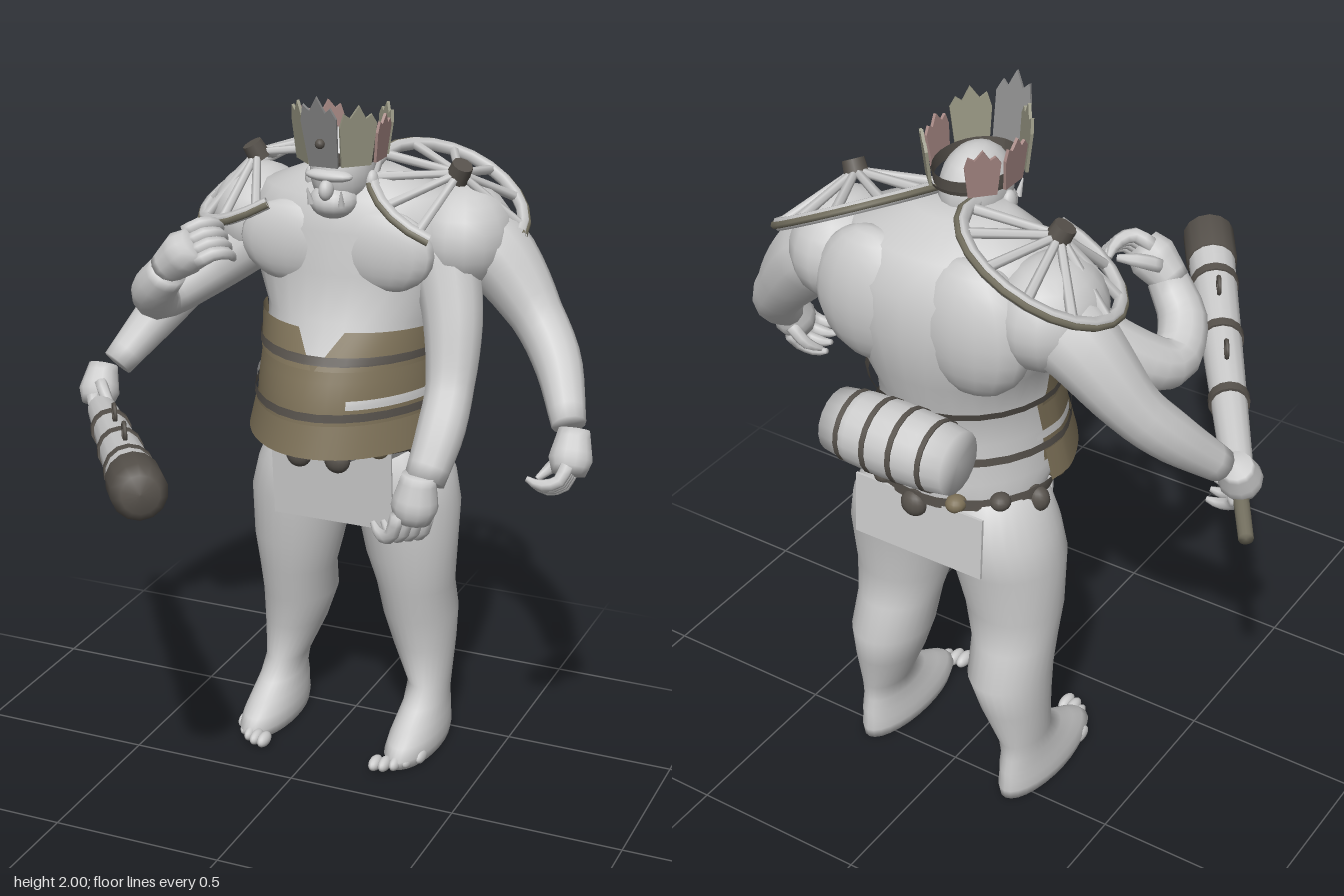
import * as THREE from 'three';

const V = (x, y, z) => new THREE.Vector3(x, y, z);
const UP = V(0, 1, 0), MID = 0.025; // MID: the body's own centre line
const mat = (name, color, side = THREE.DoubleSide) => {
  const m = new THREE.MeshStandardMaterial({ color, side });
  m.name = name;
  return m;
};

export function createModel() {
  const skin = mat('pale grey', 0xcccccc);
  const leather = mat('leather', 0x7d7158);
  const dark = mat('dark iron', 0x57524c);
  const bronze = mat('old bronze', 0x747060);
  const steel = mat('crown grey', 0x8a8a8a);
  const pink = mat('dull pink', 0xa58783);
  const sage = mat('sage', 0x969582);

  const root = new THREE.Group();
  root.name = 'ogreWarrior';
  const add = (name, geo, m, parent = root, pos) => {
    const mesh = new THREE.Mesh(geo, m);
    mesh.name = name;
    if (pos) mesh.position.copy(pos);
    parent.add(mesh);
    return mesh;
  };

  // Skin a list of rings
  const skinRings = (rings, closed = true) => {
    const n = rings[0].length, pts = rings.flat(), idx = [];
    for (let i = 0; i < rings.length - 1; i++)
      for (let j = 0; j < (closed ? n : n - 1); j++) {
        const a = i * n + j, b = i * n + (j + 1) % n;
        idx.push(a, b, b + n, a, b + n, a + n);
      }
    if (closed) [0, rings.length - 1].forEach((r, k) => {
      const c = pts.length;
      pts.push(rings[r].reduce((s, p) => s.add(p), V(0, 0, 0)).divideScalar(n));
      for (let j = 0; j < n; j++) {
        const a = r * n + j, b = r * n + (j + 1) % n;
        k ? idx.push(a, b, c) : idx.push(b, a, c);
      }
    });
    const g = new THREE.BufferGeometry().setFromPoints(pts);
    g.setIndex(idx);
    g.computeVertexNormals();
    return g;
  };
  // Horizontal slices [y, centre x, half width, front z, back z, front pointedness];
  // open when "arc" gives each slice's angles
  const stack = (secs, arc, off = 0) => {
    const n = 28;
    return skinRings(secs.map(([y, cx, rx, zf, zb, p = 1], i) => Array.from({ length: n }, (_, j) => {
      const [a0, a1] = arc ? arc(i) : [0, Math.PI * 2];
      const a = a0 + (a1 - a0) * j / (arc ? n - 1 : n), c = Math.cos(a);
      return V(cx + (rx + off) * Math.sin(a), y, (zf + zb) / 2 + ((zf - zb) / 2 + off) * (c > 0 ? c ** p : c));
    })), !arc);
  };
  // Rounded limb through points [x, y, z, radius]
  const limb = (pts, n = 12, sides = 12) => {
    const curve = new THREE.CatmullRomCurve3(pts.map(p => V(p[0], p[1], p[2])));
    const f = curve.computeFrenetFrames(n);
    return skinRings(Array.from({ length: n + 1 }, (_, i) => {
      const t = i / n, k = curve.getUtoTmapping(t) * (pts.length - 1), q = Math.min(Math.floor(k), pts.length - 2);
      const r = THREE.MathUtils.lerp(pts[q][3], pts[q + 1][3], k - q), c = curve.getPointAt(t);
      return Array.from({ length: sides }, (_, j) => {
        const a = j / sides * Math.PI * 2;
        return c.clone().addScaledVector(f.normals[i], r * Math.cos(a)).addScaledVector(f.binormals[i], r * Math.sin(a));
      });
    }));
  };
  const blob = (name, x, y, z, rx, ry, rz, m = skin) =>
    add(name, new THREE.SphereGeometry(1, 16, 12).scale(rx, ry, rz), m, root, V(x, y, z));
  const rod = (name, a, b, r0, r1, m, parent = root, sides = 8) => {
    const mesh = add(name, new THREE.CylinderGeometry(r1, r0, a.distanceTo(b), sides), m, parent, a.clone().lerp(b, 0.5));
    mesh.quaternion.setFromUnitVectors(UP, b.clone().sub(a).normalize());
  };

  // Torso
  const body = [[0.82, 0.2, -0.29, -0.56, 1], [0.95, 0.24, -0.2, -0.59, 1.2], [1.03, 0.25, -0.05, -0.59, 1.4], [1.15, 0.245, -0.07, -0.58, 1.4],
    [1.25, 0.24, -0.11, -0.59, 1.3], [1.35, 0.255, -0.17, -0.63, 1.1], [1.48, 0.31, -0.2, -0.65, 1], [1.6, 0.34, -0.2, -0.64, 1],
    [1.69, 0.27, -0.23, -0.59, 1], [1.75, 0.13, -0.28, -0.48, 1]].map(([y, ...r]) => [y, MID, ...r]);
  add('torso', stack(body), skin);
  for (const s of [-1, 1]) {
    blob('chestMuscle', MID + s * 0.13, 1.55, -0.255, 0.16, 0.12, 0.055);
    blob('shoulder', MID + s * 0.31, 1.565, -0.44, 0.14, 0.15, 0.165);
    blob('shoulderBlade', MID + s * 0.15, 1.52, -0.545, 0.17, 0.19, 0.1);
  }

  // Legs and feet
  const legSecs = [[0, 0.235, 0.07, -0.17, -0.56], [0.03, 0.235, 0.076, -0.155, -0.565], [0.06, 0.235, 0.072, -0.185, -0.56],
    [0.09, 0.235, 0.067, -0.235, -0.56], [0.13, 0.235, 0.06, -0.3, -0.55], [0.18, 0.233, 0.061, -0.36, -0.55], [0.3, 0.21, 0.092, -0.35, -0.58],
    [0.4, 0.195, 0.11, -0.33, -0.6], [0.5, 0.19, 0.115, -0.305, -0.56], [0.6, 0.18, 0.135, -0.285, -0.55], [0.76, 0.165, 0.155, -0.26, -0.58],
    [0.85, 0.15, 0.15, -0.26, -0.59], [0.98, 0.13, 0.115, -0.28, -0.56]];
  for (const s of [-1, 1]) {
    const side = s < 0 ? 'right' : 'left';
    add(side + 'Leg', stack(legSecs.map(([y, x, ...r]) => [y, MID + s * x, ...r])), skin);
    for (let i = 0; i < 5; i++)
      blob(side + 'Toe', MID + s * (0.18 + i * 0.027), 0.021, -0.15 - i * i * 0.006, 0.018 - i * 0.001, 0.021, 0.036);
  }

  // Hands: palm, four fingers that bend towards "curl", and a thumb
  const hand = (name, palm, dir, curl, r, reach) => {
    dir.normalize(); curl.normalize();
    const side = dir.clone().cross(curl).normalize();
    const at = (a, b, c) => palm.clone().addScaledVector(dir, a * r).addScaledVector(curl, b * r).addScaledVector(side, c * r);
    add(name + 'Palm', limb([[...at(-1.3, 0, 0), r * 0.7], [...at(0, 0, 0), r], [...at(0.7, 0, 0), r * 0.75]], 6), skin);
    for (let i = 0; i < 4; i++) {
      const c = (i - 1.5) * 0.5;
      add(name + 'Finger', limb([[...at(0.4, 0, c), r * 0.32], [...at(0.5 + reach, 0.3, c), r * 0.3],
        [...at(0.6 + reach, 1.1, c), r * 0.26], [...at(0.4 + reach * 0.8, 1.7, c), r * 0.13]], 6, 7), skin);
    }
    add(name + 'Thumb', limb([[...at(-0.4, 0.3, 0.7), r * 0.32], [...at(0.2, 1, 1), r * 0.28], [...at(0.7, 1.5, 0.8), r * 0.14]], 5, 7), skin);
  };

  // Outer pair of arms
  add('leftOuterArm', limb([[0.3, 1.59, -0.45, 0.12], [0.42, 1.52, -0.46, 0.112], [0.56, 1.36, -0.43, 0.075], [0.64, 1.26, -0.37, 0.068], [0.72, 1.13, -0.24, 0.048]], 16), skin);
  hand('leftOuter', V(0.75, 1.06, -0.17), V(0.05, -0.85, 0.45), V(-1, -0.15, 0.2), 0.062, 0.6);
  add('rightOuterArm', limb([[-0.25, 1.59, -0.45, 0.12], [-0.37, 1.52, -0.46, 0.11], [-0.51, 1.35, -0.42, 0.075], [-0.58, 1.25, -0.35, 0.068], [-0.66, 1.12, -0.23, 0.047]], 16), skin);
  hand('rightOuter', V(-0.69, 1.05, -0.17), V(0.05, -0.7, 0.4), V(0.8, -0.3, 0.1), 0.06, 0.5);
  // Inner pair of arms: one raised, one hanging
  add('rightInnerArm', limb([[-0.27, 1.52, -0.38, 0.09], [-0.4, 1.42, -0.31, 0.08], [-0.49, 1.355, -0.2, 0.066], [-0.46, 1.41, -0.09, 0.065], [-0.39, 1.49, -0.05, 0.054]], 16), skin);
  hand('rightInner', V(-0.345, 1.54, -0.05), V(0.7, 0.6, 0), V(0.3, -0.2, -0.7), 0.066, 0.6);
  add('leftInnerArm', limb([[0.3, 1.53, -0.38, 0.1], [0.35, 1.35, -0.32, 0.085], [0.37, 1.18, -0.25, 0.068], [0.375, 1.08, -0.17, 0.068], [0.36, 0.96, -0.09, 0.058]], 16), skin);
  hand('leftInner', V(0.345, 0.9, -0.06), V(-0.1, -0.95, 0.05), V(-0.7, -0.1, -0.5), 0.068, 0.9);

  // Head
  blob('skull', MID, 1.76, -0.3, 0.088, 0.115, 0.115);
  blob('jaw', MID, 1.685, -0.235, 0.068, 0.05, 0.07);
  blob('nose', MID, 1.725, -0.18, 0.02, 0.03, 0.028);
  blob('brow', MID, 1.762, -0.2, 0.07, 0.018, 0.03);
  for (const s of [-1, 1]) {
    blob('ear', MID + s * 0.09, 1.73, -0.29, 0.018, 0.035, 0.025);
    rod('tusk', V(MID + s * 0.045, 1.685, -0.18), V(MID + s * 0.05, 1.73, -0.165), 0.01, 0.002, skin);
  }

  // Crown: jagged plates on a band, open at the back
  const crown = new THREE.Group();
  crown.name = 'crown';
  crown.position.set(MID, 1.795, -0.3);
  root.add(crown);
  for (const [off, h] of [[0, 0.036], [0.008, 0.012]])
    add('crownBand', stack([[0, 0, 0.1, 0.125, -0.125], [h, 0, 0.102, 0.13, -0.13]], () => [0, Math.PI * 2], off), dark, crown);
  const plates = [[steel, 0, 0.21, 0.052], [sage, 45, 0.17, 0.054], [sage, -45, 0.17, 0.054], [pink, 90, 0.13, 0.048],
    [pink, -90, 0.13, 0.048], [sage, 133, 0.14, 0.046], [pink, -133, 0.13, 0.046]];
  for (const [m, degrees, h, w] of plates) {
    const a = degrees * Math.PI / 180;
    const outline = [[-w * 0.8, 0], [w * 0.8, 0], [w, h * 0.7], [w * 0.7, h * 0.85], [w * 0.4, h * 0.78], [0, h], [-w * 0.45, h * 0.8], [-w * 0.8, h * 0.88], [-w, h * 0.65]];
    const shape = new THREE.Shape(outline.map(p => new THREE.Vector2(...p)));
    const plate = add('crownPlate', new THREE.ExtrudeGeometry(shape, { depth: 0.008, bevelEnabled: false }), m, crown, V(Math.sin(a) * 0.105, 0, Math.cos(a) * 0.132));
    plate.rotation.set(degrees ? 0.1 : 0.27, a, 0, 'YXZ');
  }
  add('crownStud', new THREE.SphereGeometry(0.014, 10, 8), dark, crown, V(0, 0.068, 0.165));

  // Broken wagon wheels worn on the shoulders
  const wheel = (name, s, start, arc) => {
    const g = new THREE.Group();
    g.name = name;
    g.position.set(MID + s * 0.268, 1.68, -0.415);
    g.quaternion.setFromUnitVectors(UP, V(s * 0.43, 0.87, 0.24).normalize());
    root.add(g);
    const ring = (label, r, tube, m) => add(label, new THREE.TorusGeometry(r, tube, 6, 18, arc).rotateZ(start).rotateX(Math.PI / 2), m, g);
    ring('wheelRim', 0.222, 0.018, skin);
    ring('wheelTyre', 0.235, 0.01, bronze);
    for (let i = 0; i < 9; i++) {
      const a = start + arc * (i + 0.3) / 8.6;
      rod('spoke', V(0, 0.085, 0), V(Math.cos(a) * 0.22, 0, Math.sin(a) * 0.22), 0.011, 0.014, skin, g, 6);
    }
    add('hub', new THREE.CylinderGeometry(0.03, 0.034, 0.05, 10), dark, g, V(0, 0.09, 0));
  };
  const deg = Math.PI / 180;
  wheel('rightShoulderWheel', -1, 70 * deg, 290 * deg);
  wheel('leftShoulderWheel', 1, 80 * deg, 275 * deg);

  // Belts follow the torso outline
  const bodyAt = y => {
    const i = body.findIndex(b => b[0] > y), a = body[i - 1], b = body[i], t = (y - a[0]) / (b[0] - a[0]);
    return a.map((v, k) => v + (b[k] - v) * t);
  };
  const band = (name, y0, y1, off, a0, a1, m) => add(name,
    stack([0, 0.25, 0.5, 0.75, 1].map(t => bodyAt(y0 + (y1 - y0) * t)), () => [a0, a1], off), m);
  band('lowerBelt', 1.06, 1.25, 0.012, -1.8, 1.8, leather);
  for (const s of [-1, 1]) { // upper belt halves leave a V notch in front
    const edges = i => [0.02 + i * 0.12, 1.75 - i * 0.12].map(a => a * s).sort((a, b) => a - b);
    add('upperBelt', stack([bodyAt(1.235), bodyAt(1.285), bodyAt(1.335)], edges, 0.016), leather);
  }
  add('beltSkirt', stack([[1.0, MID, 0.28, -0.02, -0.6, 1.4], [1.09, MID, 0.262, -0.045, -0.59, 1.4]], () => [-1.8, 1.8]), leather);
  band('paleSash', 1.135, 1.16, 0.018, 0.4, 1.9, skin);
  band('paleSash', 1.135, 1.16, 0.018, -1.9, -1.1, skin);
  band('lowerStrap', 1.102, 1.125, 0.022, -Math.PI, Math.PI, dark);
  band('upperStrap', 1.25, 1.273, 0.022, -Math.PI, Math.PI, dark);
  band('hipStrap', 0.968, 1.0, 0.018, -Math.PI, Math.PI, dark);
  for (let i = 0; i < 13; i++) { // pouches round the hips
    const a = i / 13 * Math.PI * 2 + 0.2, big = i % 3 === 0;
    blob('pouch', MID + Math.sin(a) * 0.25, big ? 0.955 : 0.985, -0.375 + Math.cos(a) * 0.225, big ? 0.038 : 0.028, big ? 0.038 : 0.024, 0.03, i % 3 === 1 ? leather : dark);
  }
  // Loincloths
  add('frontCloth', new THREE.BoxGeometry(0.37, 0.28, 0.008), skin, root, V(MID, 0.865, -0.235)).rotation.x = 0.1;
  add('backCloth', new THREE.BoxGeometry(0.4, 0.18, 0.008), skin, root, V(MID, 0.885, -0.6)).rotation.x = 0.08;

  // Barrel across the lower back
  const barrel = new THREE.Group();
  barrel.name = 'barrel';
  barrel.position.set(MID, 1.2, -0.675);
  barrel.rotation.z = Math.PI / 2;
  root.add(barrel);
  add('staves', new THREE.LatheGeometry([[0, -0.185], [0.085, -0.185], [0.098, -0.1], [0.102, 0], [0.098, 0.1], [0.085, 0.185], [0, 0.185]].map(p => new THREE.Vector2(...p)), 18), skin, barrel);
  for (const y of [-0.125, -0.04, 0.04, 0.125])
    add('barrelHoop', new THREE.CylinderGeometry(0.103, 0.103, 0.015, 18), dark, barrel, V(0, y, 0)).scale.setScalar(Math.abs(y) > 0.1 ? 0.94 : 1);

  // Great club, built along its own axis from handle to tip
  const from = V(-0.785, 0.985, -0.31), to = V(-0.075, 1.16, 0.75), len = from.distanceTo(to);
  const club = new THREE.Group();
  club.name = 'club';
  club.position.copy(from);
  // Local y runs along the club, local z stays near vertical
  const ax = to.clone().sub(from).normalize(), sx = ax.clone().cross(UP).normalize();
  club.quaternion.setFromRotationMatrix(new THREE.Matrix4().makeBasis(sx, ax, sx.clone().cross(ax)));
  root.add(club);
  const rad = y => 0.046 + 0.025 * (y - 0.2) / (len - 0.2);
  const turned = (name, pts, m) => add(name, new THREE.LatheGeometry(pts.map(p => new THREE.Vector2(...p)), 14), m, club);
  turned('handle', [[0, 0], [0.02, 0], [0.022, 0.28]], bronze);
  turned('shaft', [[0.02, 0.23], [0.042, 0.25], [rad(len - 0.16), len - 0.16]], skin);
  turned('clubCap', [[0.062, len - 0.17], [0.074, len - 0.17], [0.074, len - 0.035], [0.05, len - 0.005], [0, len]], dark);
  for (const z of [0.12, 0.335, 0.53]) {
    const y = (z + 0.31) / 1.06 * len, r = rad(y) + 0.004;
    add('clubBand', new THREE.CylinderGeometry(r, r, 0.028, 14), dark, club, V(0, y, 0));
  }
  for (const z of [0.225, 0.445]) for (const s of [-1, 1]) {
    const y = (z + 0.31) / 1.06 * len;
    add('clubRing', new THREE.TorusGeometry(0.024, 0.006, 6, 14).rotateY(Math.PI / 2), dark, club, V(0, y, s * (rad(y) + 0.018)));
  }
  return root;
}
